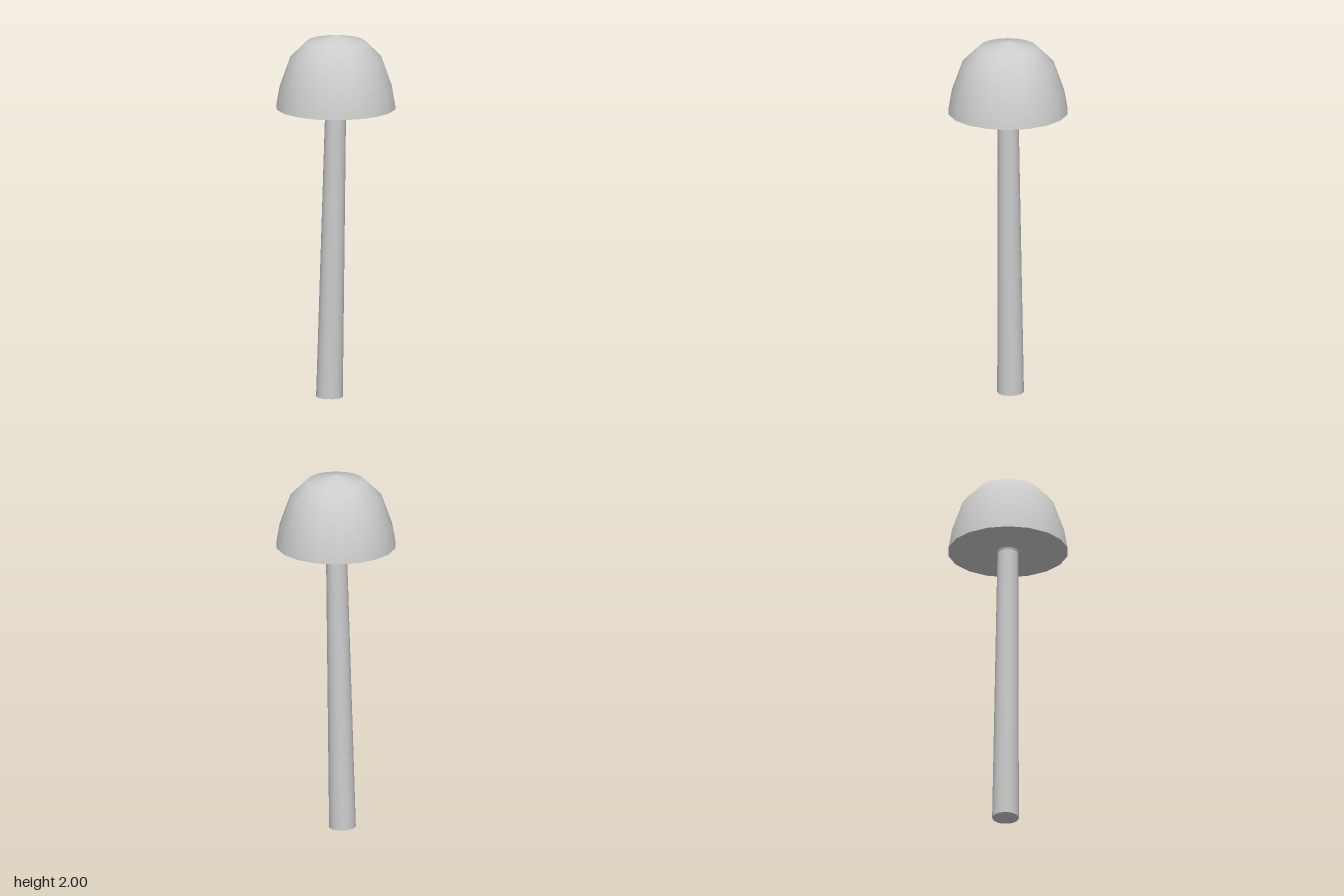
import * as THREE from 'three';

const grey = new THREE.MeshStandardMaterial({ color: 0xcccccc });
grey.name = 'plain grey';

function addPart(parent, name, geometry) {
  const mesh = new THREE.Mesh(geometry, grey);
  mesh.name = name;
  parent.add(mesh);
  return mesh;
}

export function createModel() {
  const model = new THREE.Group();
  model.name = 'mushroom';
  const sides = 18;
  const capBase = 1.6;

  // Domed cap, a smooth lathe with few rings
  const dome = [[0.325, capBase], [0.307, 1.705], [0.248, 1.873], [0.158, 1.963], [0, 2]]
    .map(([r, y]) => new THREE.Vector2(r, y));
  addPart(model, 'capDome', new THREE.LatheGeometry(dome, sides, Math.PI / 2));

  // Flat underside of the cap
  const underside = addPart(model, 'capUnderside', new THREE.CircleGeometry(0.325, sides));
  underside.rotation.x = Math.PI / 2;
  underside.position.y = capBase;

  // Tapered stem, leaning slightly towards +x
  const stem = new THREE.Group();
  stem.name = 'stem';
  stem.position.set(-0.04, 0.002, 0);
  stem.rotation.z = -Math.atan2(0.038, capBase);
  model.add(stem);
  const length = 1.61;
  const shaft = addPart(stem, 'stemShaft', new THREE.CylinderGeometry(0.056, 0.072, length, sides));
  shaft.position.y = length / 2;

  // Small flare where the stem meets the cap
  const collar = addPart(stem, 'stemCollar', new THREE.CylinderGeometry(0.062, 0.056, 0.015, sides, 1, true));
  collar.position.y = capBase - 0.0075;

  return model;
}
